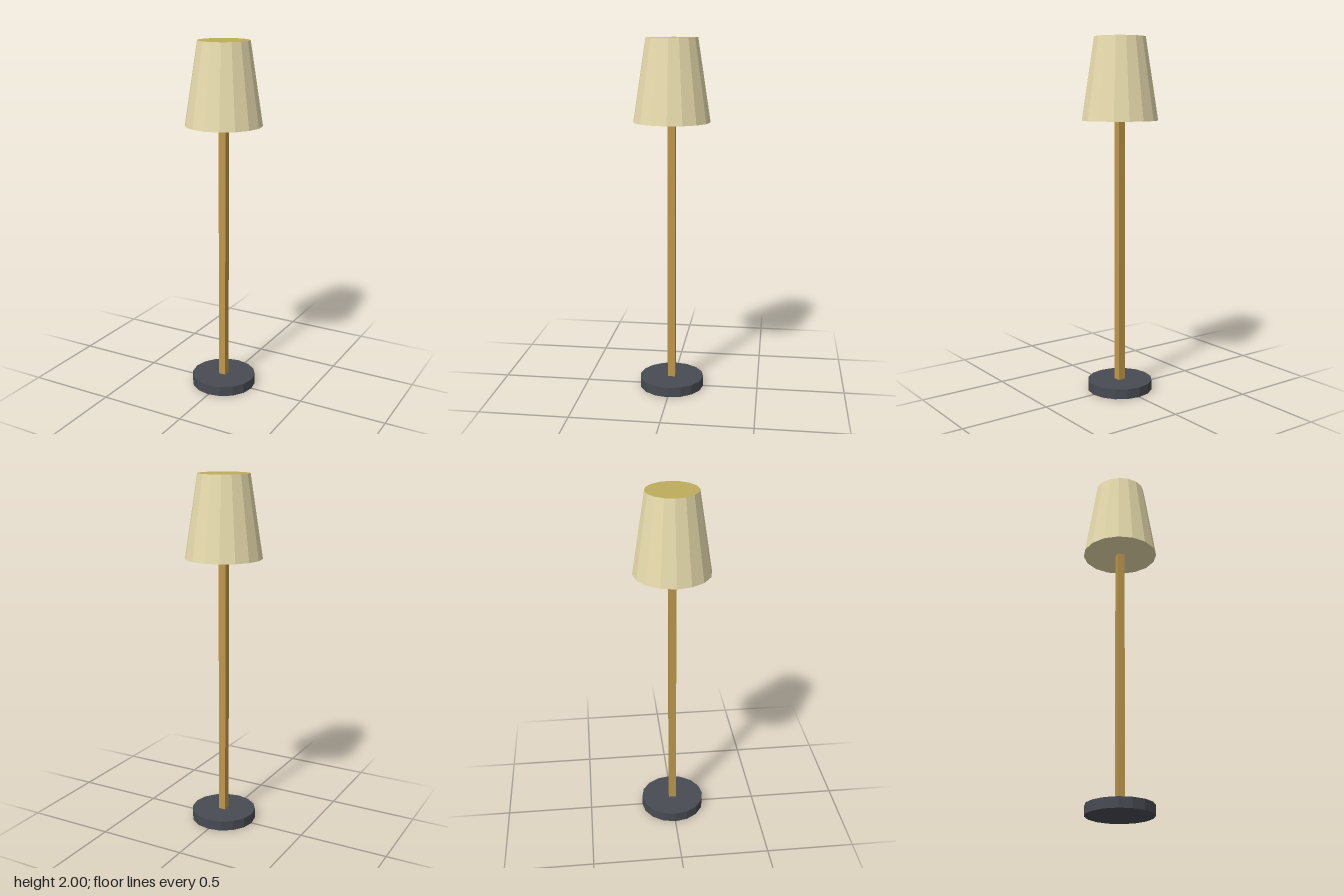
import * as THREE from 'three';

const mat = (color) => new THREE.MeshStandardMaterial({ color, flatShading: true });

// Adds a mesh whose underside sits at the given height
function addPart(group, name, geometry, height, bottom, material) {
  const mesh = new THREE.Mesh(geometry, material);
  mesh.name = name;
  mesh.position.y = bottom + height / 2;
  group.add(mesh);
}

export function createModel() {
  const lamp = new THREE.Group();
  lamp.name = 'floorLamp';

  const SIDES = 16;
  const baseHeight = 0.057;
  const shadeBottom = 1.545;
  const shadeHeight = 2 - shadeBottom;
  const poleHeight = shadeBottom - baseHeight;

  // Heavy round foot
  addPart(lamp, 'base', new THREE.CylinderGeometry(0.185, 0.185, baseHeight, SIDES),
    baseHeight, 0, mat(0x484b53));

  // Square pole
  addPart(lamp, 'pole', new THREE.BoxGeometry(0.042, poleHeight, 0.042),
    poleHeight, baseHeight, mat(0xbf984c));

  // Tapered shade: side, glowing top disc, underside
  const shadeMaterial = mat(0xe9ddae);
  addPart(lamp, 'shade', new THREE.CylinderGeometry(0.143, 0.214, shadeHeight, SIDES),
    shadeHeight, shadeBottom, [shadeMaterial, mat(0xbdad5c), shadeMaterial]);

  return lamp;
}
